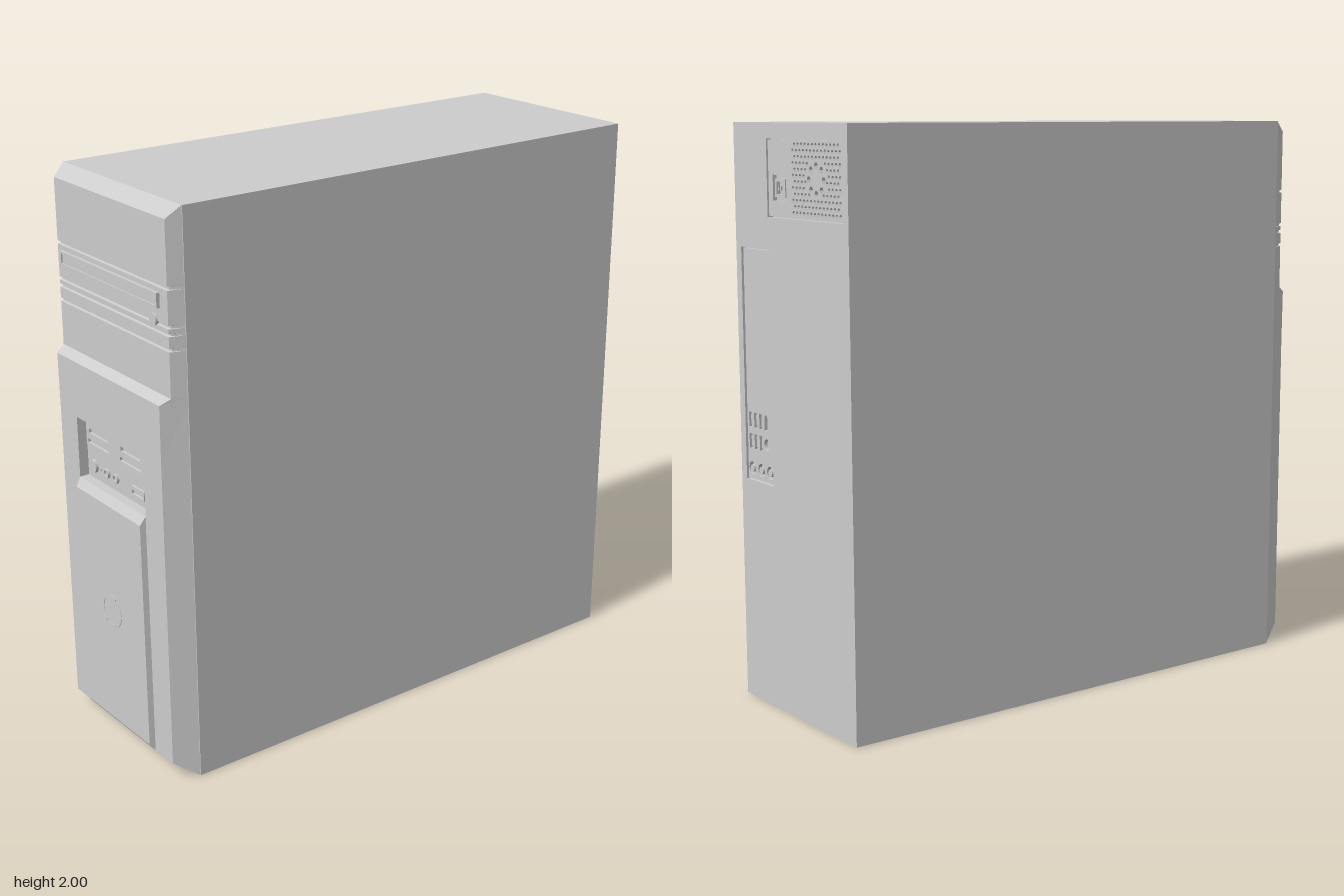
import * as THREE from 'three';

const mat = new THREE.MeshStandardMaterial({ color: 0xcccccc, flatShading: true, side: THREE.DoubleSide });

function add(parent, name, geo, x = 0, y = 0, z = 0) {
  const m = new THREE.Mesh(geo, mat);
  m.name = name;
  m.position.set(x, y, z);
  parent.add(m);
  return m;
}
const box = (p, name, x0, x1, y0, y1, z0, z1) =>
  add(p, name, new THREE.BoxGeometry(x1 - x0, y1 - y0, z1 - z0), (x0 + x1) / 2, (y0 + y1) / 2, (z0 + z1) / 2);

function disc(p, name, x, y, z, r, depth, sides = 20) {
  const g = new THREE.CylinderGeometry(r, r, depth, sides).rotateX(Math.PI / 2);
  return add(p, name, g, x, y, z);
}

function rectPath(x0, x1, y0, y1, Type = THREE.Path) {
  const s = new Type();
  s.moveTo(x0, y0).lineTo(x1, y0).lineTo(x1, y1).lineTo(x0, y1).closePath();
  return s;
}
const circlePath = (x, y, r) => new THREE.Path().absarc(x, y, r, 0, Math.PI * 2, true);
const extrude = (shape, depth, curveSegments = 12) =>
  new THREE.ExtrudeGeometry(shape, { depth, bevelEnabled: false, curveSegments });

// flat plate with holes cut through it
function plate(p, name, x0, x1, y0, y1, z, depth, holes, seg) {
  const s = rectPath(x0, x1, y0, y1, THREE.Shape);
  s.holes.push(...holes);
  return add(p, name, extrude(s, depth, seg), 0, 0, z);
}

function quads(list) {
  const pos = [];
  for (const [a, b, c, d] of list) pos.push(...a, ...b, ...c, ...a, ...c, ...d);
  const g = new THREE.BufferGeometry();
  g.setAttribute('position', new THREE.Float32BufferAttribute(pos, 3));
  g.computeVertexNormals();
  return g;
}

// shell from rows [y, z, halfWidth] going up; sides run back to [backHalf, backZ].
// A row with a fourth value leaves an opening of that half width up to the next row.
function shell(rows, backHalf, backZ) {
  const out = [];
  for (let i = 0; i < rows.length - 1; i++) {
    const [y0, z0, w0, gap] = rows[i], [y1, z1, w1] = rows[i + 1];
    if (gap) {
      out.push([[-w0, y0, z0], [-gap, y0, z0], [-gap, y1, z1], [-w1, y1, z1]]);
      out.push([[gap, y0, z0], [w0, y0, z0], [w1, y1, z1], [gap, y1, z1]]);
    } else out.push([[-w0, y0, z0], [w0, y0, z0], [w1, y1, z1], [-w1, y1, z1]]);
    out.push([[w0, y0, z0], [backHalf, y0, backZ], [backHalf, y1, backZ], [w1, y1, z1]]);
    out.push([[-w0, y0, z0], [-w1, y1, z1], [-backHalf, y1, backZ], [-backHalf, y0, backZ]]);
  }
  return quads(out);
}

function buildFront(g) {
  // bezel, with fine grooves between the drive bays
  const groove = y => [[y - 0.006, 0.935, 0.335], [y - 0.004, 0.925, 0.335], [y + 0.004, 0.925, 0.335], [y + 0.006, 0.935, 0.335]];
  add(g, 'frontBezel', shell([
    [0, 0.885, 0.355], [0.06, 0.97, 0.318], [0.94, 0.97, 0.318, 0.21], [1.16, 0.97, 0.318],
    [1.36, 0.97, 0.32], [1.38, 0.935, 0.335],
    ...groove(1.54), ...groove(1.59), ...groove(1.615), ...groove(1.74),
    [1.96, 0.935, 0.335], [2, 0.885, 0.355]], 0.355, 0.885));

  // recess for the front ports
  const w = 0.21, b = 0.94, t = 1.16, f = 0.97, k = 0.935;
  add(g, 'portRecess', quads([
    [[-w, b, k], [w, b, k], [w, t, k], [-w, t, k]],
    [[-w, b, f], [-w, b, k], [-w, t, k], [-w, t, f]],
    [[w, b, k], [w, b, f], [w, t, f], [w, t, k]],
    [[-w, b, f], [w, b, f], [w, b, k], [-w, b, k]],
    [[-w, t, k], [w, t, k], [w, t, f], [-w, t, f]]]));

  // card reader with its slots
  const slots = [];
  for (const x of [-0.117, 0.088]) {
    slots.push(rectPath(x - 0.06, x + 0.06, 1.107, 1.123));
    slots.push(rectPath(x - 0.068, x + 0.068, 1.07, 1.084));
  }
  plate(g, 'cardReader', -0.195, 0.183, 1.06, 1.143, k, 0.01, slots);

  // power button, light, audio jacks and data port
  disc(g, 'powerButton', -0.165, 0.987, 0.94, 0.024, 0.012);
  disc(g, 'indicatorLight', -0.125, 0.987, 0.937, 0.005, 0.006, 8);
  for (const x of [-0.083, -0.025]) {
    const ring = new THREE.Shape().absarc(0, 0, 0.018, 0, Math.PI * 2);
    ring.holes.push(circlePath(0, 0, 0.01));
    add(g, 'audioJack', extrude(ring, 0.009), x, 0.987, k);
  }
  plate(g, 'frontDataPort', 0.08, 0.162, 0.968, 1.002, k, 0.009, [rectPath(0.086, 0.156, 0.974, 0.988)]);

  // raised lower door and its round emblem
  add(g, 'frontDoor', shell([[0.06, 0.971, 0.208], [0.085, 0.99, 0.204], [0.91, 0.99, 0.204], [0.94, 0.97, 0.21]], 0.21, 0.965));
  for (let i = 0; i < 6; i++) {
    const a = i * Math.PI / 3, e = a + 0.95;
    const arc = new THREE.Shape().absarc(0, 0, 0.062, a, e, false).absarc(0, 0, 0.05, e, a, true);
    add(g, 'emblemSegment', extrude(arc, 0.003), -0.005, 0.515, 0.989);
  }

  // optical drive tray and eject button
  plate(g, 'driveTray', -0.308, 0.29, 1.668, 1.718, 0.93, 0.017, [rectPath(-0.296, 0.278, 1.676, 1.711)]);
  box(g, 'driveTrayFace', -0.296, 0.278, 1.676, 1.711, 0.93, 0.942);
  disc(g, 'ejectButton', 0.255, 1.624, 0.936, 0.02, 0.012);
}

function buildBack(g) {
  // back sheet with openings for the power supply and the rear ports
  const Z = -0.99;
  plate(g, 'backPanel', -0.358, 0.358, 0, 2, Z, 0.02,
    [rectPath(-0.325, 0.14, 1.69, 1.948), rectPath(0.14, 0.325, 0.78, 1.582)]);

  // power supply plate with fan grille and power socket
  const holes = [rectPath(0.022, 0.108, 1.745, 1.83)];
  const cx = -0.165, cy = 1.82;
  for (let r = 0; r < 12; r++) for (let c = 0; c < 14; c++) {
    const x = cx - 0.143 + c * 0.022 - (r % 2) * 0.011, y = cy - 0.11 + r * 0.02;
    if (Math.hypot(x - cx, y - cy) > 0.065 && x > -0.315) holes.push(circlePath(x, y, 0.0075));
  }
  for (let i = 0; i < 8; i++) {
    const a = i * Math.PI / 4;
    holes.push(circlePath(cx + 0.045 * Math.cos(a), cy + 0.045 * Math.sin(a), 0.012));
  }
  plate(g, 'powerSupplyPlate', -0.321, 0.136, 1.694, 1.944, Z + 0.004, 0.015, holes, 3);
  plate(g, 'powerSocket', 0.032, 0.098, 1.757, 1.818, Z + 0.006, 0.014, [rectPath(0.042, 0.088, 1.767, 1.808)]);
  for (const x of [0.05, 0.065, 0.08])
    box(g, 'powerPin', x - 0.003, x + 0.003, 1.78, 1.795, Z + 0.008, Z + 0.02);

  // rear port plate: two rows of upright ports over a row of audio jacks
  const cut = [];
  const xs = [0.3, 0.265, 0.23, 0.195];
  for (const y of [0.99, 0.915]) for (const x of xs) {
    if (y < 0.95 && x < 0.2) cut.push(circlePath(x - 0.005, y, 0.02));
    else cut.push(rectPath(x - 0.01, x + 0.01, y - 0.026, y + 0.026));
  }
  for (const x of [0.293, 0.232, 0.172]) cut.push(circlePath(x, 0.82, 0.023));
  plate(g, 'rearPortPlate', 0.144, 0.321, 0.784, 1.578, Z + 0.006, 0.013, cut, 8);
  for (const x of [0.293, 0.232, 0.172]) disc(g, 'rearJack', x, 0.82, Z + 0.012, 0.013, 0.014, 12);
  for (const y of [0.99, 0.915]) for (const x of xs.slice(0, 3))
    box(g, 'rearPortTongue', x - 0.003, x + 0.003, y - 0.018, y + 0.018, Z + 0.01, Z + 0.02);
}

export function createModel() {
  const model = new THREE.Group();
  model.name = 'towerComputer';
  box(model, 'case', -0.358, 0.358, 0, 2, -0.97, 0.885);
  const front = new THREE.Group();
  front.name = 'front';
  buildFront(front);
  const back = new THREE.Group();
  back.name = 'back';
  buildBack(back);
  model.add(front, back);
  return model;
}
